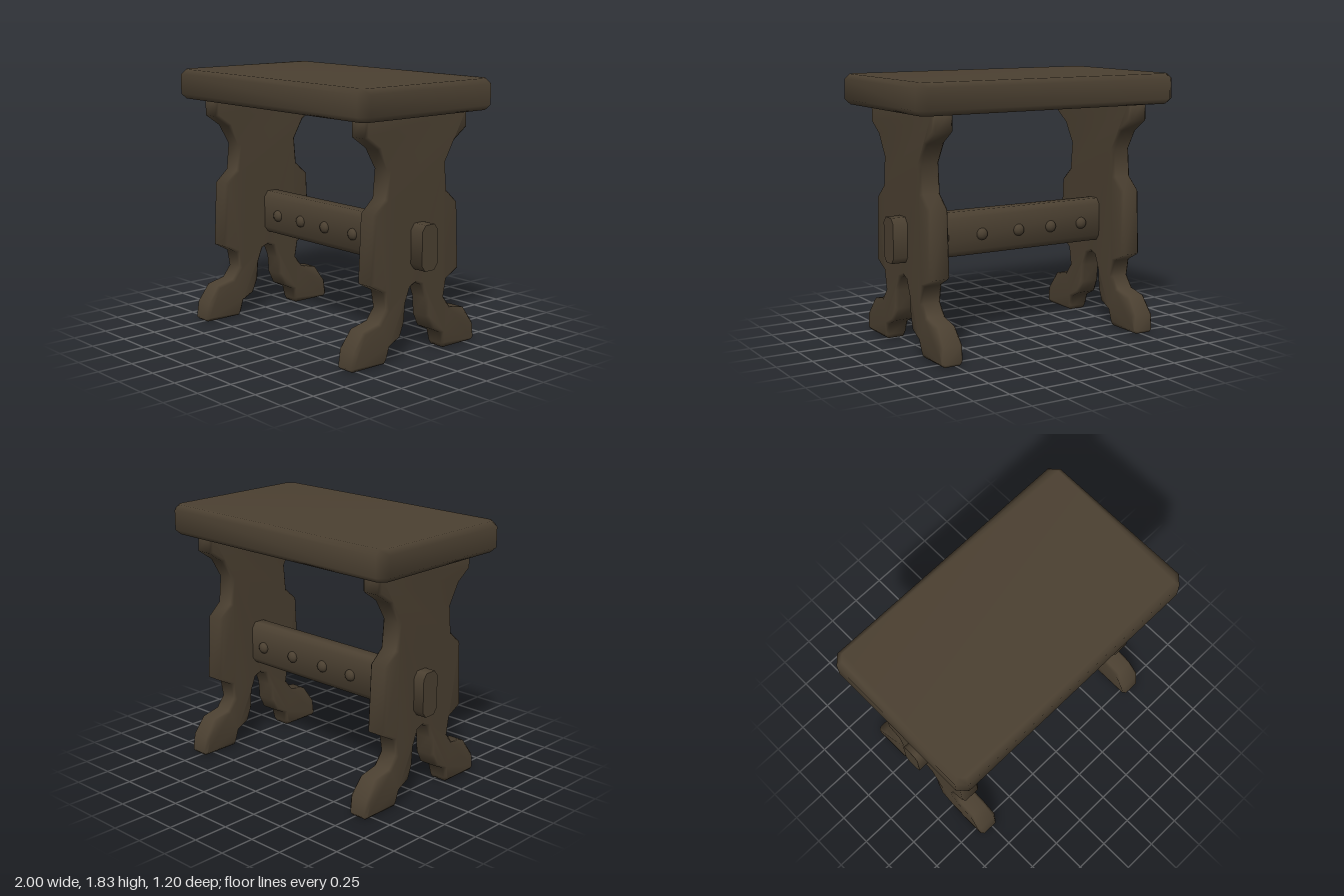
import * as THREE from 'three';
import { mergeVertices, toCreasedNormals } from 'three/addons/utils/BufferGeometryUtils.js';

const wood = new THREE.MeshStandardMaterial({ color: 0x4b4031 });
wood.name = 'darkWood';

// Extrude an outline with a one-step chamfer, centred on its depth
function slab(points, depth, chamfer) {
  const shape = new THREE.Shape(points.map(([x, y]) => new THREE.Vector2(x, y)));
  const geo = new THREE.ExtrudeGeometry(shape, {
    depth: depth - 2 * chamfer, bevelEnabled: chamfer > 0, bevelSegments: 1,
    bevelSize: chamfer, bevelThickness: chamfer, bevelOffset: -chamfer,
  });
  return geo.translate(0, 0, -depth / 2 + chamfer);
}

// Weld corners so that chamfers shade softly while broad faces stay flat
function soften(geo) {
  geo.deleteAttribute('normal');
  geo.deleteAttribute('uv');
  const welded = mergeVertices(geo, 1e-4);
  welded.computeVertexNormals();
  return welded;
}

// Rectangle with cut corners
function cutRect(w, h, cx, cy) {
  return [[w - cx, -h], [w, -h + cy], [w, h - cy], [w - cx, h],
    [-w + cx, h], [-w, h - cy], [-w, -h + cy], [-w + cx, -h]];
}

// Half outline of a trestle end: [half width, height], top edge down to the arch
const half = [
  [0.46, 1.64], [0.46, 1.5], [0.345, 1.42], [0.263, 1.28], [0.28, 1.09],
  [0.38, 1.0], [0.402, 0.54], [0.29, 0.48], [0.268, 0.36], [0.33, 0.28],
  [0.465, 0.25], [0.55, 0.13], [0.573, 0.02], [0.555, 0], [0.275, 0],
  [0.256, 0.03], [0.24, 0.11], [0.15, 0.155], [0.1, 0.25], [0.09, 0.38],
  [0.05, 0.48],
];

function trestleGeometry() {
  const mirrored = half.map(([z, y]) => [-z, y]).reverse();
  const geo = slab([...half, [0, 0.5], ...mirrored], 0.15, 0.018);
  geo.rotateY(-Math.PI / 2);
  // Swell the feet slightly sideways
  const p = geo.attributes.position;
  for (let i = 0; i < p.count; i++) {
    const y = p.getY(i);
    if (y > 0.09 && y < 0.2) p.setX(i, p.getX(i) * 1.13);
  }
  return soften(geo);
}

export function createModel() {
  const group = new THREE.Group();
  group.name = 'trestleStool';
  const add = (name, geo, x, y, z) => {
    const mesh = new THREE.Mesh(geo, wood);
    mesh.name = name;
    mesh.position.set(x, y, z);
    group.add(mesh);
    return mesh;
  };

  // Seat board
  const seat = slab(cutRect(0.998, 0.598, 0.06, 0.06), 0.21, 0.035);
  seat.rotateX(-Math.PI / 2);
  add('seat', soften(seat), 0, 1.725, 0);

  // Shaped ends
  const trestle = trestleGeometry();
  add('leftTrestle', trestle, 0.775, 0, -0.022);
  add('rightTrestle', trestle, -0.775, 0, 0.002);

  // Stretcher passing through both ends
  const bar = slab(cutRect(0.071, 0.154, 0.03, 0.04), 1.885, 0);
  bar.rotateY(-Math.PI / 2);
  add('stretcher', toCreasedNormals(bar, 1), 0.012, 0.756, -0.034);

  // Domed pegs on both faces of the stretcher
  const peg = new THREE.SphereGeometry(0.042, 10, 8).scale(1, 1, 0.75);
  for (const x of [-0.54, -0.28, -0.015, 0.28, 0.58]) {
    add('frontPeg', peg, x, 0.745, 0.037);
    add('backPeg', peg, x, 0.745, -0.105);
  }
  return group;
}
